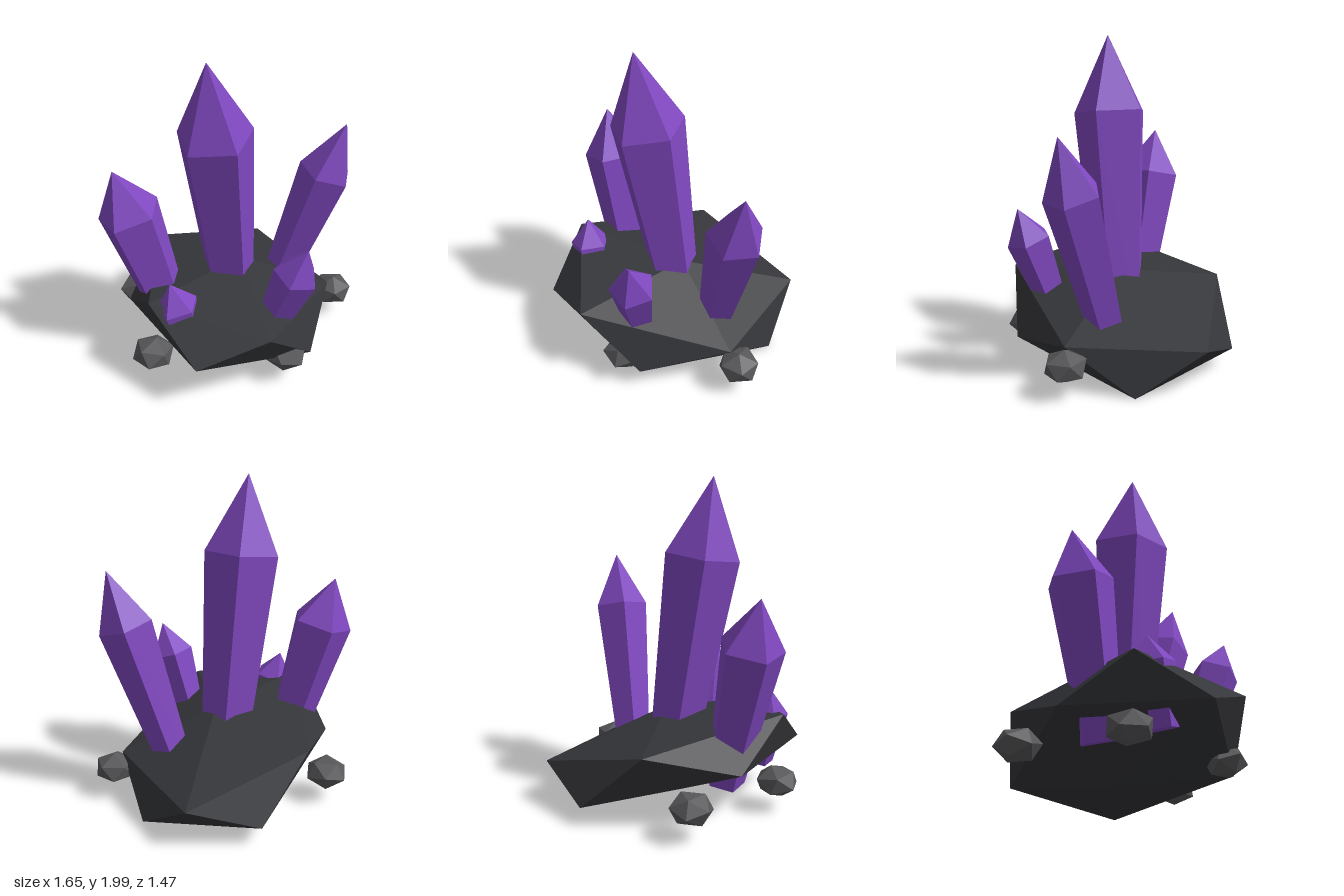
import * as THREE from 'three';
import { ConvexGeometry } from 'three/addons/geometries/ConvexGeometry.js';

const material = (color) => new THREE.MeshStandardMaterial({ color, flatShading: true });
const V = (a) => new THREE.Vector3(...a);

export function createModel() {
  const group = new THREE.Group();
  const purple = material(0x8048c0);
  const dark = material(0x35363a);
  const grey = material(0x58585b);

  const add = (name, geometry, mat) => {
    const mesh = new THREE.Mesh(geometry, mat);
    mesh.name = name;
    group.add(mesh);
    return mesh;
  };

  // Base rock: a skewed, flattened twenty-faced solid, six corners and their opposites
  const centre = V([-0.02, 0.31, -0.005]);
  const corners = [
    [0.04, 0.5, 0.73], [-0.4, 0.35, 0.71], [-0.61, 0.61, 0.36],
    [0.65, 0.28, 0.03], [0.05, 0.57, -0.02], [-0.41, 0.47, -0.53],
  ].map(V);
  const opposites = corners.map((p) => centre.clone().multiplyScalar(2).sub(p));
  add('baseRock', new ConvexGeometry([...corners, ...opposites]), dark);

  // Five-sided crystal that widens from its foot to a shoulder, then comes to a point
  const crystal = (name, foot, tip, radius, phase, shoulder) => {
    const axis = V(tip).sub(V(foot));
    const length = axis.length();
    const profile = [[0, 0], [radius * 0.62, 0], [radius, length * shoulder], [0, length]]
      .map(([r, y]) => new THREE.Vector2(r, y));
    const mesh = add(name, new THREE.LatheGeometry(profile, 5, phase), purple);
    mesh.position.set(...foot);
    mesh.quaternion.setFromUnitVectors(new THREE.Vector3(0, 1, 0), axis.normalize());
  };
  crystal('centreCrystal', [0, 0.2, -0.03], [-0.19, 2, 0.15], 0.235, 1.6, 0.74);
  crystal('rightCrystal', [-0.42, 0.2, 0.07], [-0.73, 1.35, 0.04], 0.195, -1.86, 0.75);
  crystal('leftCrystal', [0.31, 0.2, -0.1], [0.69, 1.48, 0.03], 0.172, 1.76, 0.74);
  crystal('frontLeftCrystal', [0.13, 0.25, 0.36], [0.31, 0.96, 0.53], 0.142, 1.94, 0.72);
  crystal('frontRightCrystal', [-0.365, 0.24, 0.41], [-0.48, 0.74, 0.37], 0.13, 3.09, 0.68);

  // Loose stones around the base
  const stones = [
    ['backRightStone', -0.6, -0.33, 0.4],
    ['frontRightStone', -0.6, 0.33, 1.3],
    ['leftStone', 0.7, 0, 2.1],
    ['frontStone', 0.2, 0.53, 2.8],
  ];
  for (const [name, x, z, turn] of stones) {
    const geometry = new THREE.IcosahedronGeometry(0.135, 0);
    geometry.rotateX(turn).rotateY(turn * 1.7).scale(1, 0.72, 1);
    add(name, geometry, grey).position.set(x, 0.195, z);
  }
  return group;
}
